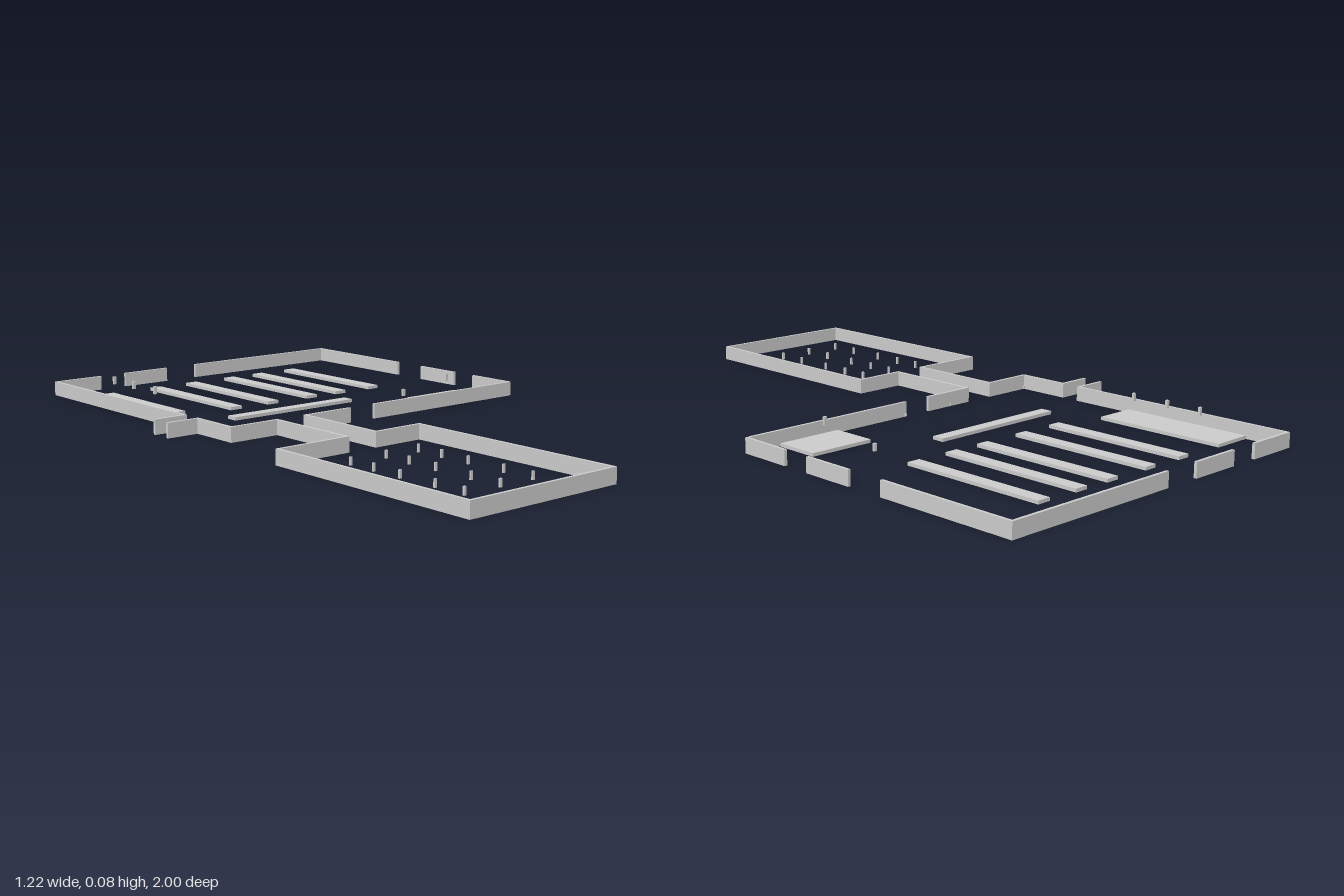
import * as THREE from 'three';

const material = new THREE.MeshStandardMaterial({ color: 0xcccccc, flatShading: true });
const WALL_H = 0.045, WALL_T = 0.009, SLAB_H = 0.01;

// Box given by its extents
function block(parent, name, x0, x1, y0, y1, z0, z1) {
  const mesh = new THREE.Mesh(new THREE.BoxGeometry(x1 - x0, y1 - y0, z1 - z0), material);
  mesh.position.set((x0 + x1) / 2, (y0 + y1) / 2, (z0 + z1) / 2);
  mesh.name = name;
  parent.add(mesh);
}

// Straight walls along a run of [x, z] corners
function wallRun(parent, name, points) {
  const h = WALL_T / 2;
  for (let i = 0; i + 1 < points.length; i++) {
    const [ax, az] = points[i], [bx, bz] = points[i + 1];
    block(parent, name, Math.min(ax, bx) - h, Math.max(ax, bx) + h, 0, WALL_H,
      Math.min(az, bz) - h, Math.max(az, bz) + h);
  }
}

// Small upright marker
function post(parent, name, x, z, y0, height, wx, wz) {
  block(parent, name, x - wx / 2, x + wx / 2, y0, y0 + height, z - wz / 2, z + wz / 2);
}

export function createModel() {
  const model = new THREE.Group();
  model.name = 'floorPlan';
  const group = (name) => {
    const g = new THREE.Group();
    g.name = name;
    model.add(g);
    return g;
  };

  // Main hall, side passage, corridor and small room
  const walls = group('walls');
  wallRun(walls, 'hallLeftWall', [[-0.35, -0.995], [-0.51, -0.995], [-0.51, -0.25], [-0.61, -0.25]]);
  wallRun(walls, 'roomWall', [
    [-0.61, -0.185], [-0.51, -0.185], [-0.51, -0.02], [-0.35, -0.02], [-0.35, 0.29],
    [-0.585, 0.29], [-0.585, 0.995], [-0.085, 0.995], [-0.085, 0.29],
    [-0.247, 0.29], [-0.247, -0.02], [-0.082, -0.02],
  ]);
  wallRun(walls, 'hallFrontWall', [[0.019, -0.02], [0.592, -0.02]]);
  wallRun(walls, 'hallBackWall', [[-0.247, -0.995], [-0.09, -0.995]]);
  wallRun(walls, 'hallBackWall', [[0.037, -0.995], [0.605, -0.995]]);
  for (const [z0, z1] of [[-0.99, -0.565], [-0.436, -0.281], [-0.183, -0.023]]) {
    wallRun(walls, 'hallRightWall', [[0.605, z0], [0.605, z1]]);
  }

  // Low benches and platforms on the hall floor
  const furniture = group('furniture');
  for (const x of [-0.214, -0.071, 0.086, 0.208, 0.349]) {
    block(furniture, 'bench', x - 0.021, x + 0.021, 0, SLAB_H, -0.865, -0.406);
  }
  block(furniture, 'counter', -0.32, 0.138, 0, SLAB_H, -0.303, -0.265);
  block(furniture, 'leftPlatform', -0.508, -0.375, 0, SLAB_H, -0.865, -0.45);
  block(furniture, 'rightPlatform', 0.289, 0.498, 0, SLAB_H, -0.17, -0.03);

  // Raised markers above the platforms
  const markers = group('markers');
  for (const [x, z] of [[-0.437, -0.754], [-0.437, -0.64], [-0.437, -0.52], [0.402, -0.108]]) {
    post(markers, 'platformMarker', x, z, 0.06, 0.024, 0.009, 0.008);
  }
  post(markers, 'hallMarker', 0.338, -0.241, 0, 0.022, 0.01, 0.008);
  for (const x of [-0.447, -0.119, 0.066]) {
    post(markers, 'entranceMarker', x, -0.077, 0.02, 0.008, 0.005, 0.005);
  }

  // Grid of posts in the small room
  for (const z of [0.426, 0.516, 0.616, 0.743, 0.844]) {
    for (const x of [-0.453, -0.33, -0.214]) {
      post(markers, 'roomPost', x, z, 0.004, 0.023, 0.007, 0.006);
    }
  }
  return model;
}
